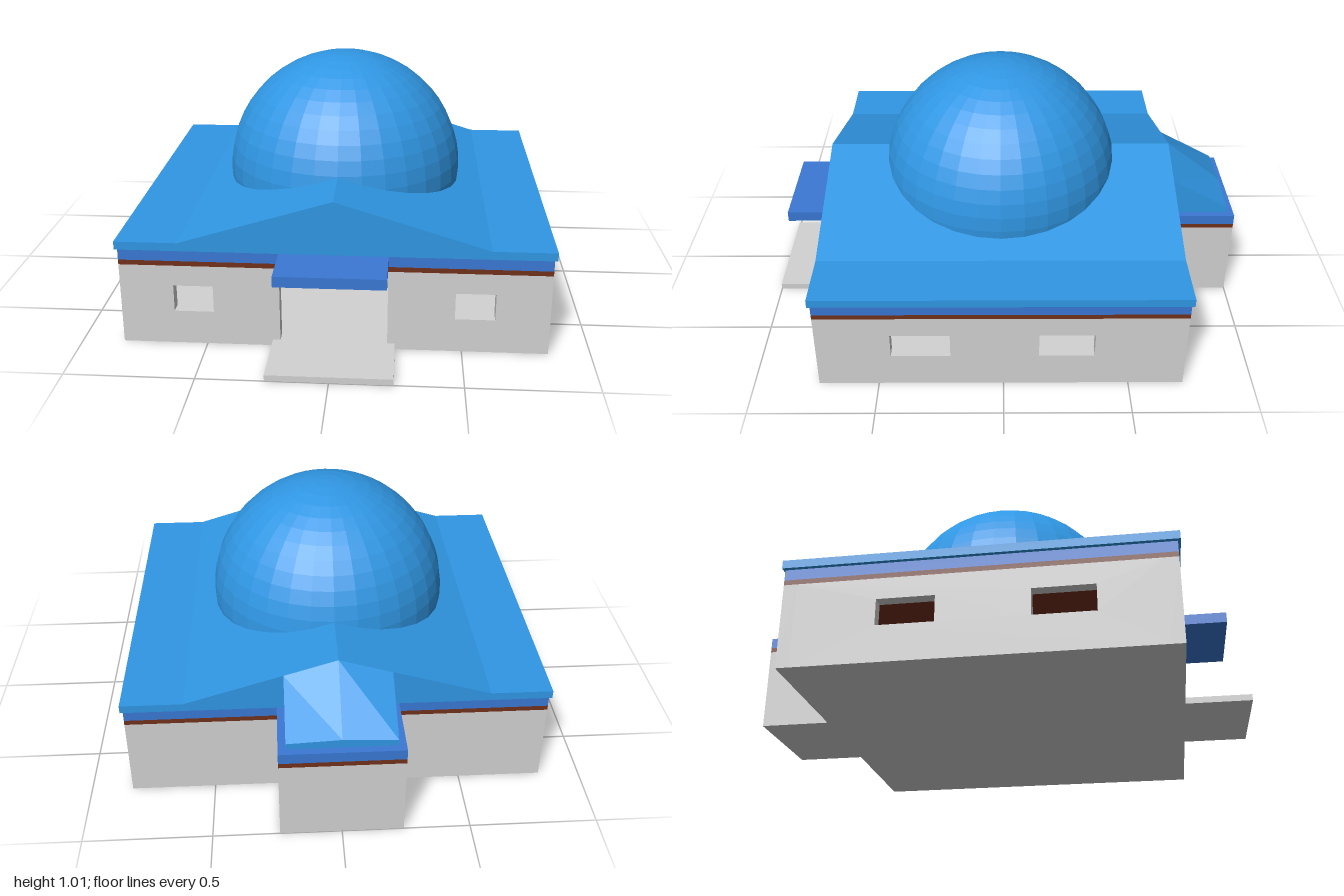
import * as THREE from 'three';

const mat = (name, color) => Object.assign(new THREE.MeshStandardMaterial({ color }), { name });
const wallGrey = mat('wall grey', 0xd2d2d2);
const roofBlue = mat('roof blue', 0x3097e4);
const trimBlue = mat('trim blue', 0x3a78d4);
const brown = mat('brown', 0x72301a);
roofBlue.flatShading = true;

const T = 0.05; // wall thickness
const WALL_H = 0.335, BAND_H = 0.355, TRIM_H = 0.398, ROOF_Y = 0.402;
const W = 0.835, FRONT = 0.74, BACK = -0.72;

function add(group, name, geometry, material) {
  const mesh = new THREE.Mesh(geometry, material);
  mesh.name = name;
  group.add(mesh);
  return mesh;
}

// Box given by its extents
function block(group, name, material, [x0, x1], [y0, y1], [z0, z1]) {
  const g = new THREE.BoxGeometry(x1 - x0, y1 - y0, z1 - z0);
  g.translate((x0 + x1) / 2, (y0 + y1) / 2, (z0 + z1) / 2);
  return add(group, name, g, material);
}

// Extruded polygon from [x, y] points, with rectangular holes [x0, x1, y0, y1]
function slab(points, depth, holes = []) {
  const v = (p) => new THREE.Vector2(p[0], p[1]);
  const shape = new THREE.Shape(points.map(v));
  for (const [a, b, c, d] of holes) {
    shape.holes.push(new THREE.Path([[a, c], [a, d], [b, d], [b, c]].map(v)));
  }
  return new THREE.ExtrudeGeometry(shape, { depth, bevelEnabled: false });
}

export function createModel() {
  const model = new THREE.Group();
  model.name = 'domedBuilding';

  // Front wall with doorway and two windows
  const door = 0.21;
  const front = slab(
    [[-W, 0], [-door, 0], [-door, WALL_H - 0.003], [door, WALL_H - 0.003], [door, 0], [W, 0], [W, WALL_H], [-W, WALL_H]],
    T, [[-0.625, -0.47, 0.14, 0.25], [0.47, 0.625, 0.14, 0.25]]);
  front.translate(0, 0, FRONT - T);
  add(model, 'frontWall', front, wallGrey);

  // Side walls, two windows each
  const z0 = BACK + T, z1 = FRONT - T;
  for (const side of [1, -1]) {
    const g = slab([[-z1, 0], [-z0, 0], [-z0, WALL_H], [-z1, WALL_H]], T,
      [[-0.445, -0.21, 0.145, 0.25], [0.14, 0.36, 0.145, 0.25]]);
    g.rotateY(Math.PI / 2);
    g.translate(side > 0 ? W - T : -W, 0, 0);
    add(model, side > 0 ? 'leftWall' : 'rightWall', g, wallGrey);
  }

  // Back wall, rear annex, floor and entrance step
  block(model, 'backWall', wallGrey, [-W, W], [0, WALL_H], [BACK, BACK + T]);
  block(model, 'annexWalls', wallGrey, [-0.24, 0.24], [0, WALL_H], [-1, BACK]);
  block(model, 'floor', wallGrey, [-W + T, W - T], [0, 0.025], [z0, z1]);
  block(model, 'doorSill', wallGrey, [-door, door], [0, 0.025], [z1, FRONT]);
  block(model, 'entranceStep', wallGrey, [-0.24, 0.24], [0, 0.025], [FRONT, 1]);

  // Brown and blue bands over the walls
  for (const [name, m, y] of [['brownBand', brown, [WALL_H, BAND_H]], ['blueBand', trimBlue, [BAND_H, TRIM_H]]]) {
    block(model, name, m, [-W, W], y, [BACK, FRONT]);
    block(model, name + 'Annex', m, [-0.24, 0.24], y, [-1, BACK]);
  }
  block(model, 'entranceCanopy', trimBlue, [-door, door], [BAND_H, TRIM_H], [FRONT, 0.935]);

  // Main roof: flat eaves rising to a ridge along z
  const roof = slab([[-0.845, ROOF_Y], [0.845, ROOF_Y], [0.845, 0.435], [0.6, 0.435], [0, 0.62], [-0.6, 0.435], [-0.845, 0.435]], 1.48);
  roof.translate(0, 0, -0.73);
  add(model, 'mainRoof', roof, roofBlue);

  // Annex roof: the gable shrinks in height toward the back
  const annex = slab([[-0.21, 0.398], [0.21, 0.398], [0.21, 0.555], [0, 0.62], [-0.21, 0.555]], 0.24);
  annex.translate(0, 0, -0.97);
  const p = annex.attributes.position;
  for (let i = 0; i < p.count; i++) {
    if (p.getZ(i) < -0.9) p.setY(i, 0.398 + (p.getY(i) - 0.398) * 0.16);
  }
  annex.computeVertexNormals();
  add(model, 'annexRoof', annex, roofBlue);

  // Dome, its base hidden in the roof
  const dome = new THREE.SphereGeometry(0.5, 32, 16, 0, Math.PI * 2, 0, Math.PI * 10 / 16);
  dome.translate(0, 0.515, 0.01);
  add(model, 'dome', dome, roofBlue);

  return model;
}
